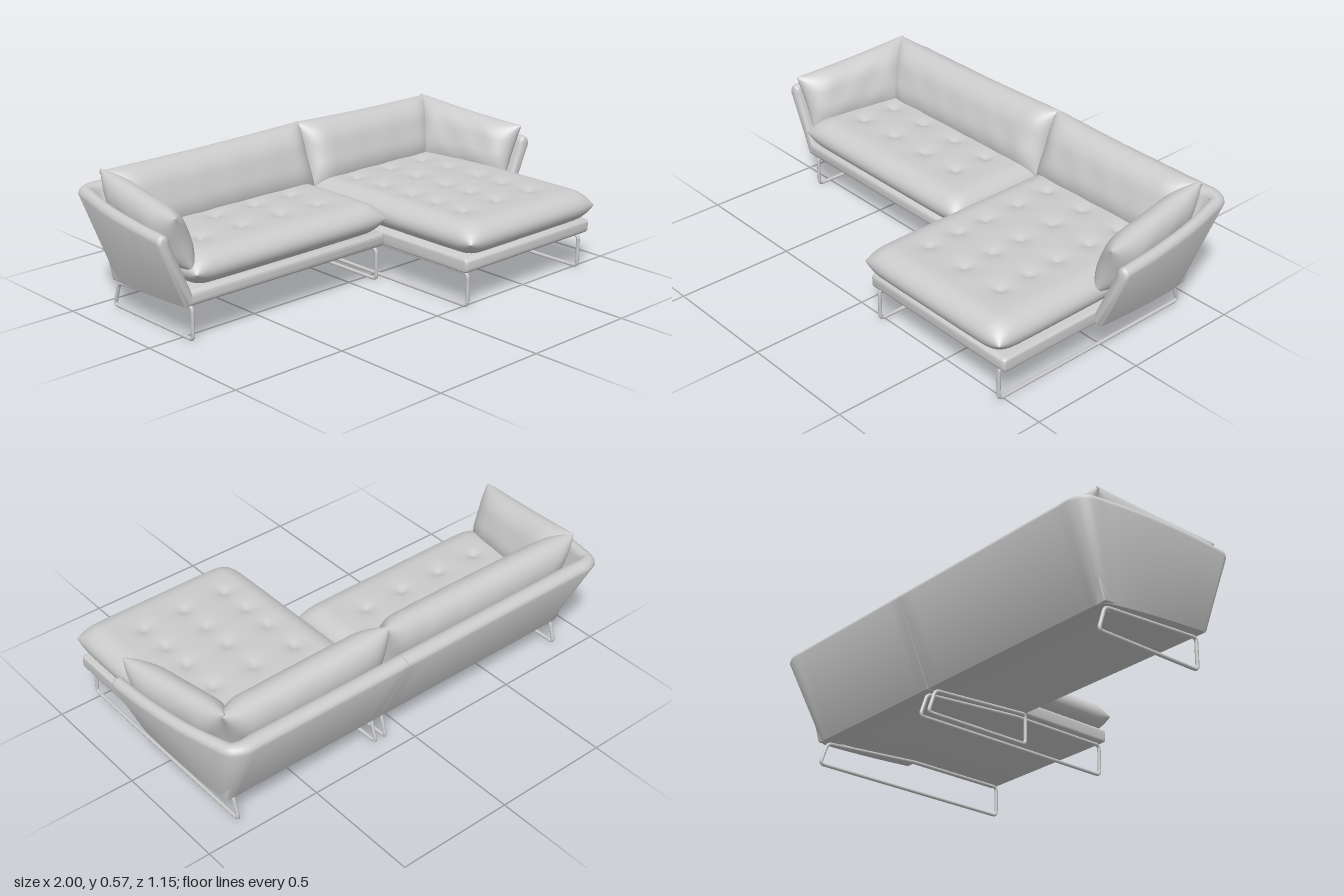
import * as THREE from 'three';
import { toCreasedNormals } from 'three/addons/utils/BufferGeometryUtils.js';

const V = (x, y, z) => new THREE.Vector3(x, y, z);
const material = new THREE.MeshStandardMaterial({ color: 0xcccccc, roughness: 0.8 });

function buildGeometry(positions, index) {
  const g = new THREE.BufferGeometry();
  g.setAttribute('position', new THREE.Float32BufferAttribute(positions, 3));
  g.setIndex(index);
  return g;
}

// Stuffed cushion: two sheets bulging from a quad with corners
// (u-,v-), (u+,v-), (u-,v+), (u+,v+).
function cushion([a, b, c, d], o) {
  const { half, edge, n, round = 0, pinch = 0, wrinkle = 0, tufts = [] } = o;
  const normal = b.clone().sub(a).cross(c.clone().sub(a)).normalize();
  const lenU = a.distanceTo(b) / 2, lenV = a.distanceTo(c) / 2;
  const positions = [], index = [];
  const roundOff = (w) => {
    const q = Math.min(1, w / edge);
    return Math.sqrt(Math.max(0, 1 - (1 - q) ** 2));
  };
  for (const side of [1, -1]) {
    const base = positions.length / 3;
    for (let j = 0; j <= n; j++) for (let i = 0; i <= n; i++) {
      const u = Math.sin((i / n - 0.5) * Math.PI), v = Math.sin((j / n - 0.5) * Math.PI);
      const s = (u * (1 - round * v ** 8 - pinch * (1 - v * v) * u * u) + 1) / 2;
      const t = (v * (1 - round * u ** 8 - pinch * (1 - u * u) * v * v) + 1) / 2;
      const p = a.clone().lerp(b, s).lerp(c.clone().lerp(d, s), t);
      const full = roundOff((1 - Math.abs(u)) * lenU) * roundOff((1 - Math.abs(v)) * lenV);
      let h = half * full * (0.92 + 0.08 * (1 - u * u) * (1 - v * v));
      h += wrinkle * full * Math.sin(u * lenU * 38 + 2 * v) * Math.cos(v * 3 + u);
      // button dimples on the top sheet
      if (side > 0) for (const [x, z] of tufts) {
        const r = Math.hypot(p.x - x, p.z - z);
        h -= 0.009 * Math.exp(-((r / 0.05) ** 2)) + 0.011 * Math.exp(-((r / 0.018) ** 2));
      }
      p.addScaledVector(normal, side * h);
      positions.push(p.x, p.y, p.z);
    }
    for (let j = 0; j < n; j++) for (let i = 0; i < n; i++) {
      const k = base + j * (n + 1) + i, l = k + n + 1;
      if (side > 0) index.push(k, k + 1, l + 1, k, l + 1, l);
      else index.push(k, l + 1, k + 1, k, l, l + 1);
    }
  }
  const g = buildGeometry(positions, index);
  g.computeVertexNormals();
  return g;
}

// Arm and half of the back, swept from the arm front round the corner to xEnd.
function shellHalf(side, xEnd) {
  const path = (pts) => new THREE.CatmullRomCurve3(pts.map(([x, z]) => V(x, 0, z)), false, 'centripetal');
  const mid = (0.78 + xEnd) / 2;
  const top = path([[1, 0.085], [0.994, -0.1], [0.974, -0.3], [0.942, -0.46], [0.918, -0.54],
    [0.865, -0.573], [0.78, -0.575], [mid, -0.575], [xEnd, -0.575]]);
  const bottom = path([[0.885, 0.085], [0.882, -0.1], [0.872, -0.27], [0.862, -0.36], [0.852, -0.4],
    [0.83, -0.418], [0.78, -0.42], [mid, -0.42], [xEnd, -0.42]]);
  const steps = 84, arc = 8, cap = 0.03, soft = 0.018, positions = [], index = [];
  const ring = arc + 3;
  for (let i = 0; i <= steps; i++) {
    const f = (i / steps) ** 1.8, p = top.getPoint(f), q = bottom.getPoint(f), t = top.getTangent(f);
    const inward = V(t.z, 0, -t.x);
    // softened front edge of the arm
    const w = Math.max(0, 1 - (0.085 - p.z) / soft);
    const inset = soft * (1 - Math.sqrt(Math.max(0, 1 - w * w)));
    const thick = 0.052 + 0.023 * THREE.MathUtils.smoothstep(f, 0.25, 0.75) - 2 * inset;
    const yTop = 0.448 + (0.085 - p.z) * 0.056 - inset;
    const yBottom = 0.115 + (q.z + 0.42) * 0.069 + inset;
    p.addScaledVector(inward, inset);
    q.addScaledVector(inward, inset).setY(yBottom);
    const pts = [q];
    for (let k = 0; k <= arc; k++) {
      const angle = (k / arc) * Math.PI;
      const r = p.clone().addScaledVector(inward, thick * (1 - Math.cos(angle)) / 2);
      pts.push(r.setY(yTop - cap + cap * Math.sin(angle)));
    }
    pts.push(q.clone().addScaledVector(inward, thick));
    for (const r of pts) positions.push(side * r.x, r.y, r.z);
  }
  const tri = (a, b, c) => (side > 0 ? index.push(a, b, c) : index.push(a, c, b));
  for (let i = 0; i < steps; i++) for (let k = 0; k < ring; k++) {
    const a = i * ring + k, b = i * ring + (k + 1) % ring;
    tri(a, a + ring, b + ring);
    tri(a, b + ring, b);
  }
  const last = steps * ring;
  for (let k = 1; k < ring - 1; k++) {
    tri(0, k, k + 1);
    tri(last, last + k + 1, last + k);
  }
  return toCreasedNormals(buildGeometry(positions, index), 0.7);
}

// Upholstered base: side profile with a rounded front, extruded from x0 to x1.
function baseFrame(front, x0, x1) {
  const bevel = 0.012, r = 0.022, y0 = 0.15, y1 = 0.21;
  const shape = new THREE.Shape();
  shape.moveTo(0.42, 0.116);
  shape.lineTo(0.45, y1);
  shape.lineTo(r - front, y1);
  shape.quadraticCurveTo(-front, y1, -front, y1 - r);
  shape.lineTo(-front, y0 + r);
  shape.quadraticCurveTo(-front, y0, r - front, y0);
  shape.lineTo(-0.06, y0);
  const g = new THREE.ExtrudeGeometry(shape, {
    depth: x1 - x0 - 2 * bevel, bevelSize: bevel, bevelThickness: bevel, bevelOffset: -bevel, bevelSegments: 4,
  });
  g.rotateY(Math.PI / 2).translate(x0 + bevel, 0, 0);
  return toCreasedNormals(g, 0.6);
}

// Closed sled leg bent from tube, corners in (z, y).
function sledLeg(x, corners) {
  const pts = corners.map(([z, y]) => V(x, y, z)), n = pts.length, r = 0.02;
  const path = new THREE.CurvePath();
  const toward = (i, j) => pts[i].clone().addScaledVector(pts[j].clone().sub(pts[i]).normalize(), r);
  for (let i = 0; i < n; i++) {
    const next = (i + 1) % n, prev = (i + n - 1) % n;
    path.add(new THREE.QuadraticBezierCurve3(toward(i, prev), pts[i], toward(i, next)));
    path.add(new THREE.LineCurve3(toward(i, next), toward(next, i)));
  }
  return new THREE.TubeGeometry(path, 240, 0.0075, 8, true);
}

export function createModel() {
  const group = new THREE.Group();
  const add = (name, geometry) => {
    const mesh = new THREE.Mesh(geometry, material);
    mesh.name = name;
    group.add(mesh);
  };

  // Outer shell in two modules
  add('leftShell', shellHalf(1, 0.118));
  add('rightShell', shellHalf(-1, -0.116));

  // Bases
  add('sofaBase', baseFrame(0.088, -0.865, 0.117));
  add('chaiseBase', baseFrame(0.541, 0.117, 0.86));

  // Tufted seat cushions
  const grid = (xs, zs) => xs.flatMap((x) => zs.map((z) => [x, z]));
  const seat = (x0, x1, z0, z1, tufts) => cushion(
    [V(x0, 0.276, z1), V(x1, 0.276, z1), V(x0, 0.276, z0), V(x1, 0.276, z0)],
    { half: 0.071, edge: 0.095, n: 84, round: 0.025, tufts });
  add('sofaSeat', seat(-0.865, 0.116, -0.44, 0.115, grid([-0.69, -0.49, -0.29, -0.1], [-0.24, -0.08])));
  add('chaiseSeat', seat(0.104, 0.866, -0.44, 0.575, grid([0.27, 0.465, 0.66], [-0.24, -0.08, 0.09, 0.23, 0.375])));

  // Leaning back cushions
  const back = (b0, b1, t0, t1, y0, y1) => cushion(
    [V(b0, 0.28, -0.345), V(b1, 0.28, -0.345), V(t0, y0, -0.45), V(t1, y1, -0.45)],
    { half: 0.086, edge: 0.115, n: 44, pinch: 0.035, wrinkle: 0.0015 });
  add('sofaBackCushion', back(-0.82, 0.132, -0.88, 0.128, 0.555, 0.568));
  add('chaiseBackCushion', back(0.1, 0.82, 0.104, 0.88, 0.568, 0.555));

  // Arm cushions, mirrored
  for (const [name, s] of [['left', 1], ['right', -1]]) {
    add(name + 'ArmCushion', cushion(
      [V(s * 0.77, 0.285, -0.39), V(s * 0.845, 0.285, 0.08), V(s * 0.87, 0.562, -0.455), V(s * 0.93, 0.508, 0.095)],
      { half: 0.07, edge: 0.115, n: 44, pinch: 0.035, wrinkle: 0.002 }));
  }

  // Sled legs
  const rear = [[-0.4, 0.106], [-0.432, 0.0075]];
  for (const x of [-0.845, 0.095]) add('sofaLeg', sledLeg(x, [[0.063, 0.0075], [0.063, 0.138], ...rear]));
  for (const x of [0.145, 0.815]) add('chaiseLeg', sledLeg(x, [[0.523, 0.0075], [0.523, 0.143], [0.06, 0.143], ...rear]));

  return group;
}
